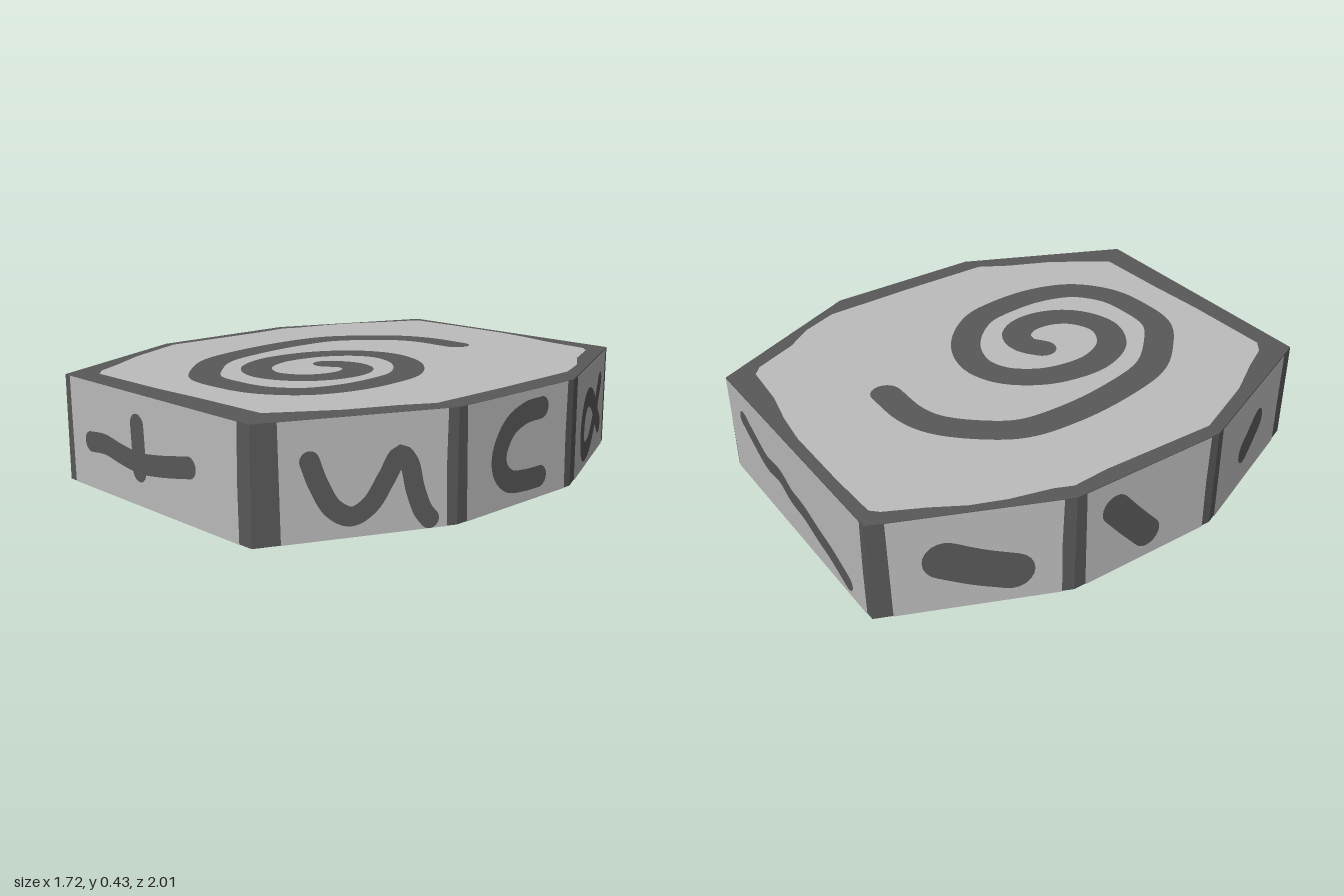
import * as THREE from 'three';
import { mergeGeometries } from 'three/addons/utils/BufferGeometryUtils.js';

const H = 0.42; // slab height

// octagon corners as [x, z], in order around the sides starting at the front
const CORNERS = [[-0.57, 1], [0.55, 1], [0.855, 0.33], [0.855, -0.33],
  [0.55, -1], [-0.57, -1], [-0.855, -0.33], [-0.855, 0.33]];

const toShape = (pts) => new THREE.Shape(pts.map(([x, y]) => new THREE.Vector2(x, y)));

// flat brush stroke in the xy plane: a ribbon along a smooth curve, with round ends
function strokeGeometry(pts, radius) {
  const curve = new THREE.CatmullRomCurve3(pts.map(([x, y]) => new THREE.Vector3(x, y, 0)));
  const n = pts.length * 6;
  const ribbon = new THREE.PlaneGeometry(1, 1, n, 1);
  const pos = ribbon.attributes.position;
  for (let i = 0; i <= n; i++) {
    const p = curve.getPointAt(i / n), t = curve.getTangentAt(i / n);
    pos.setXYZ(i, p.x - t.y * radius, p.y + t.x * radius, 0);
    pos.setXYZ(n + 1 + i, p.x + t.y * radius, p.y - t.x * radius, 0);
  }
  const caps = [pts[0], pts[pts.length - 1]].map(([x, y]) =>
    new THREE.CircleGeometry(radius, 20).translate(x, y, 0));
  return mergeGeometries([ribbon, ...caps]);
}

// outline of the light area on the top, as [x, z]
const TOP = [[-0.51, -0.95], [-0.3, -0.957], [0, -0.957], [0.15, -0.94], [0.3, -0.91], [0.5, -0.895],
  [0.54, -0.86], [0.62, -0.68], [0.7, -0.57], [0.76, -0.42], [0.77, 0], [0.77, 0.35],
  [0.7, 0.47], [0.62, 0.65], [0.5, 0.83], [0.465, 0.88], [0.15, 0.89], [-0.1, 0.905],
  [-0.47, 0.91], [-0.52, 0.87], [-0.58, 0.76], [-0.68, 0.6], [-0.8, 0.33], [-0.79, -0.15],
  [-0.8, -0.3], [-0.77, -0.37], [-0.73, -0.53], [-0.68, -0.66], [-0.61, -0.78], [-0.54, -0.92]];

const BOTTOM = [[0.485, -0.96], [0.56, -0.86], [0.8, -0.32], [0.8, 0.3], [0.56, 0.84], [0.465, 0.95],
  [-0.5, 0.935], [-0.58, 0.84], [-0.81, 0.32], [-0.81, -0.31], [-0.59, -0.82], [-0.51, -0.9]];

const SPIRAL = [[0.075, -0.545], [-0.1, -0.54], [-0.21, -0.5], [-0.33, -0.39], [-0.42, -0.25],
  [-0.443, -0.05], [-0.42, 0.2], [-0.36, 0.42], [-0.25, 0.56], [-0.11, 0.67], [0.05, 0.685],
  [0.2, 0.66], [0.33, 0.56], [0.388, 0.4], [0.39, 0.22], [0.36, 0.08], [0.26, -0.05],
  [0.15, -0.12], [0.03, -0.14], [-0.08, -0.095], [-0.17, 0.02], [-0.205, 0.15], [-0.2, 0.28],
  [-0.13, 0.41], [0, 0.47], [0.13, 0.42], [0.195, 0.32], [0.2, 0.2], [0.15, 0.125],
  [0.07, 0.11], [0.005, 0.15]];

// Side faces in corner order. left/right: dark edge widths.
// Stroke points: [fraction along the face from its left, height].
const SIDES = [
  { name: 'front', left: 0.04, right: 0.06, strokes: [
    { r: 0.04, pts: [[0.155, 0.185], [0.24, 0.192], [0.34, 0.175], [0.44, 0.165],
      [0.55, 0.178], [0.64, 0.195], [0.71, 0.21]] },
    { r: 0.042, pts: [[0.434, 0.305], [0.438, 0.22], [0.44, 0.135]] }] },
  { name: 'frontLeft', left: 0.095, right: 0.04, strokes: [
    { r: 0.035, pts: [[0.27, 0.28], [0.31, 0.2], [0.38, 0.11], [0.47, 0.075], [0.56, 0.11],
      [0.64, 0.2], [0.705, 0.275], [0.75, 0.24], [0.78, 0.15], [0.82, 0.07], [0.855, 0.036]] }] },
  { name: 'left', left: 0.045, right: 0.04, strokes: [
    { r: 0.042, pts: [[0.69, 0.345], [0.55, 0.34], [0.41, 0.3], [0.33, 0.215], [0.34, 0.15],
      [0.42, 0.1], [0.55, 0.085], [0.69, 0.082]] }] },
  { name: 'backLeft', left: 0.07, right: 0.045, strokes: [
    { r: 0.04, pts: [[0.76, 0.305], [0.68, 0.225], [0.58, 0.135], [0.46, 0.077], [0.32, 0.078],
      [0.275, 0.15], [0.3, 0.23], [0.38, 0.28], [0.49, 0.275], [0.61, 0.22], [0.7, 0.16],
      [0.775, 0.115]] }] },
  { name: 'back', left: 0.01, right: 0.03, strokes: [
    { r: 0.035, pts: [[0.135, 0.305], [0.21, 0.257], [0.3, 0.21], [0.4, 0.212], [0.48, 0.175],
      [0.57, 0.163], [0.67, 0.13], [0.755, 0.106], [0.86, 0.06]] }] },
  { name: 'backRight', left: 0.07, right: 0.045, strokes: [
    { r: 0.08, pts: [[0.36, 0.225], [0.52, 0.175], [0.69, 0.135]] }] },
  { name: 'right', left: 0.045, right: 0.04, strokes: [
    { r: 0.06, pts: [[0.26, 0.295], [0.38, 0.2], [0.5, 0.11]] }] },
  { name: 'frontRight', left: 0.037, right: 0.075, strokes: [
    { r: 0.058, pts: [[0.4, 0.17], [0.48, 0.205], [0.55, 0.24]] }] },
];

export function createModel() {
  const model = new THREE.Group();
  const lightStone = new THREE.MeshStandardMaterial({ color: 0xbcbcbc });
  const darkStone = new THREE.MeshStandardMaterial({ color: 0x595959 });
  lightStone.name = 'light stone';
  darkStone.name = 'dark stone';

  const add = (parent, name, geometry, material) => {
    const mesh = new THREE.Mesh(geometry, material);
    mesh.name = name;
    parent.add(mesh);
    return mesh;
  };

  // dark octagonal slab; its bare edges form the borders
  const slab = new THREE.ExtrudeGeometry(toShape(CORNERS.map(([x, z]) => [x, -z])),
    { depth: H, bevelEnabled: false });
  add(model, 'slab', slab.rotateX(-Math.PI / 2), darkStone);

  // top and bottom panels, and the spiral
  const flip = ([x, z]) => [x, -z];
  add(model, 'topPanel', new THREE.ShapeGeometry(toShape(TOP.map(flip))).rotateX(-Math.PI / 2),
    lightStone).position.y = H + 0.003;
  add(model, 'spiral', strokeGeometry(SPIRAL.map(flip), 0.061).rotateX(-Math.PI / 2),
    darkStone).position.y = H + 0.006;
  add(model, 'bottomPanel', new THREE.ShapeGeometry(toShape(BOTTOM)).rotateX(Math.PI / 2),
    lightStone).position.y = -0.003;

  // side panels with their painted marks
  SIDES.forEach((side, i) => {
    const [x0, z0] = CORNERS[i], [x1, z1] = CORNERS[(i + 1) % 8];
    const length = Math.hypot(x1 - x0, z1 - z0);
    const face = new THREE.Group();
    face.name = side.name + 'Side';
    face.position.set(x0, 0, z0);
    face.rotation.y = Math.atan2(z0 - z1, x1 - x0);
    model.add(face);

    const a = side.left, b = length - side.right;
    const panel = toShape([[a + 0.004, 0], [b, 0], [b - 0.004, H / 2], [b, H], [a - 0.004, H], [a, H / 2]]);
    add(face, side.name + 'Panel', new THREE.ShapeGeometry(panel), lightStone).position.z = 0.003;
    const marks = side.strokes.map(({ r, pts }) =>
      strokeGeometry(pts.map(([u, y]) => [u * length, y]), r));
    add(face, side.name + 'Mark', mergeGeometries(marks), darkStone).position.z = 0.006;
  });
  return model;
}
